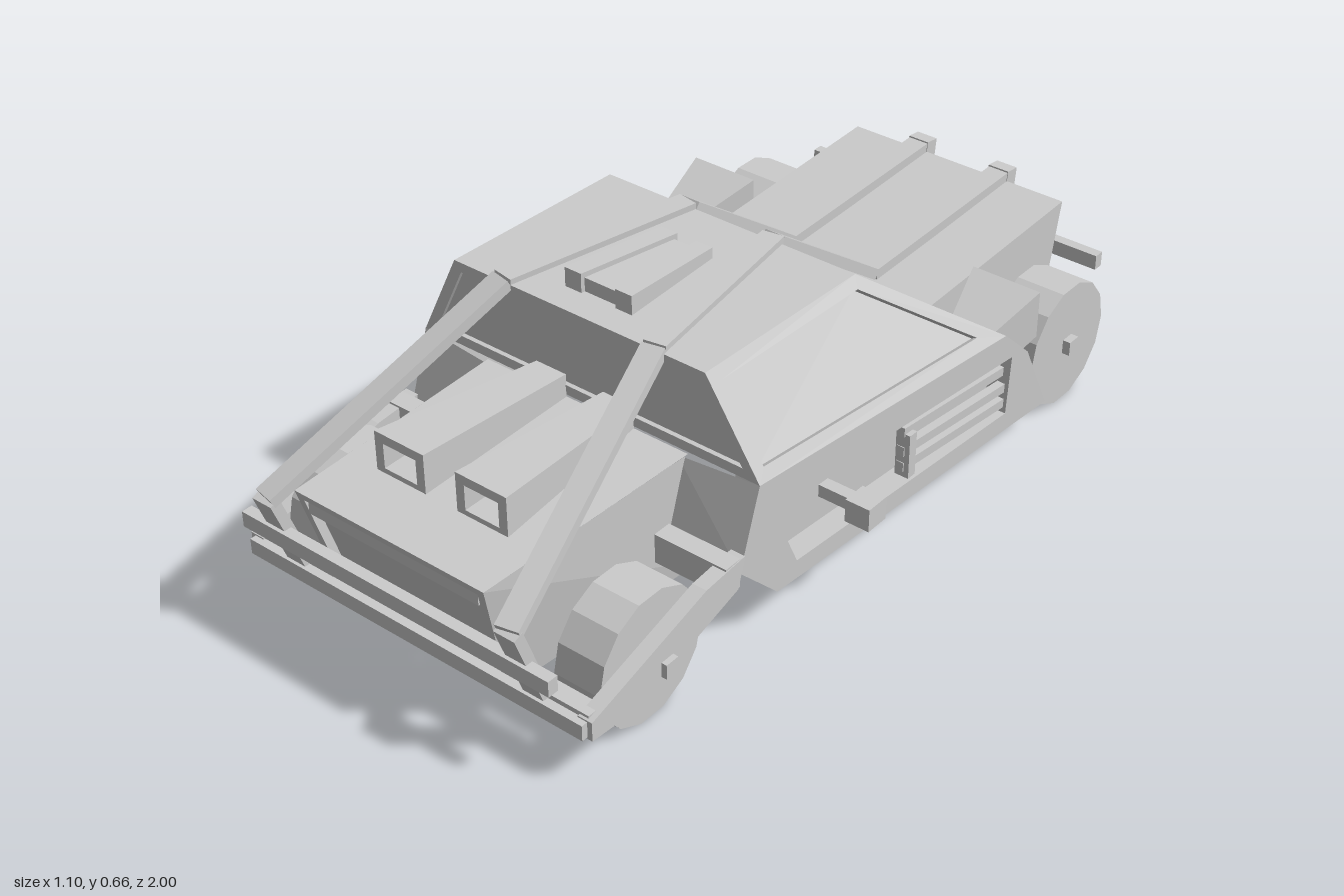
import * as THREE from 'three';

const mat = new THREE.MeshStandardMaterial({ color: 0xcccccc, flatShading: true, side: THREE.DoubleSide });
const V = (p) => new THREE.Vector3(...p);

function add(parent, name, geo, x = 0, y = 0, z = 0) {
  const m = new THREE.Mesh(geo, mat);
  m.name = name;
  m.position.set(x, y, z);
  parent.add(m);
  return m;
}

const box = (parent, name, w, h, d, x, y, z) => add(parent, name, new THREE.BoxGeometry(w, h, d), x, y, z);

// Flat-shaded geometry from four-cornered faces
function faces(quads) {
  const pos = [];
  for (const [a, b, c, d] of quads) for (const p of [a, b, c, a, c, d]) pos.push(...p);
  const g = new THREE.BufferGeometry();
  g.setAttribute('position', new THREE.Float32BufferAttribute(pos, 3));
  g.computeVertexNormals();
  return g;
}

// Face with an even border and a sunken panel; corners run anticlockwise from outside
function framed(corners, border, depth) {
  const p = corners.map(V);
  const n = p[1].clone().sub(p[0]).cross(p[3].clone().sub(p[0])).normalize();
  const rim = p.map((c, i) => {
    const u = p[(i + 1) % 4].clone().sub(c).normalize();
    const v = p[(i + 3) % 4].clone().sub(c).normalize();
    const s = border / u.clone().cross(v).length();
    return c.clone().addScaledVector(u.add(v), s);
  });
  const low = rim.map((c) => c.clone().addScaledVector(n, -depth));
  const quads = [low];
  for (let i = 0; i < 4; i++) {
    const j = (i + 1) % 4;
    quads.push([p[i], p[j], rim[j], rim[i]], [rim[i], rim[j], low[j], low[i]]);
  }
  return quads.map((q) => q.map((c) => c.toArray()));
}

// Tapered box between two rectangles [x0, x1, y0, y1, z]; the first end (z larger or smaller) can be sunken
function taper(A, B, border = 0, depth = 0) {
  const ring = ([x0, x1, y0, y1, z]) => [[x0, y0, z], [x1, y0, z], [x1, y1, z], [x0, y1, z]];
  const a = ring(A), b = ring(B);
  const end = A[4] > B[4] ? a : [a[1], a[0], a[3], a[2]];
  const quads = border ? framed(end, border, depth) : [end];
  quads.push([b[1], b[0], b[3], b[2]]);
  for (let i = 0; i < 4; i++) {
    const j = (i + 1) % 4;
    quads.push([a[j], a[i], b[i], b[j]]);
  }
  return faces(quads);
}

// Straight bar between two points
function bar(parent, name, from, to, w, h) {
  const a = V(from), b = V(to);
  const m = add(parent, name, new THREE.BoxGeometry(w, h, a.distanceTo(b)));
  m.position.copy(a).add(b).multiplyScalar(0.5);
  m.lookAt(b);
  return m;
}

// Plate drawn as [z, y] points and given thickness along x
function plate(points, thickness, hole) {
  const toV2 = (l) => l.map(([z, y]) => new THREE.Vector2(-z, y));
  const s = new THREE.Shape(toV2(points));
  if (hole) s.holes.push(new THREE.Path(toV2(hole)));
  return new THREE.ExtrudeGeometry(s, { depth: thickness, bevelEnabled: false }).rotateY(Math.PI / 2);
}

function wheel(parent, name, x, z, width, hubEnd) {
  const w = new THREE.Group();
  w.name = name;
  w.position.set(0, 0.153, z);
  add(w, 'tyre', new THREE.CylinderGeometry(0.152, 0.152, width, 14).rotateZ(Math.PI / 2), x);
  box(w, 'axle', hubEnd - 0.22, 0.035, 0.035, (hubEnd + 0.22) / 2, 0, 0);
  parent.add(w);
}

function buildSide() {
  const g = new THREE.Group();

  // Cabin side with its sunken window
  add(g, 'sideWindow', faces(framed([[0.45, 0.4, 0.4], [0.49, 0.345, -0.42], [0.33, 0.61, -0.07], [0.33, 0.625, 0.42]], 0.03, 0.015)));

  // Lower side with a recess, widening to the rear
  const recess = [[0.36, 0.32], [-0.45, 0.275], [-0.44, 0.13], [0.28, 0.145]];
  const door = plate([[0.4, 0.4], [-0.42, 0.345], [-0.51, 0.26], [-0.6, 0.08], [0.34, 0.1], [0.46, 0.22]], 0.06, recess);
  const p = door.attributes.position;
  for (let i = 0; i < p.count; i++) p.setX(i, p.getX(i) + 0.41 - 0.049 * p.getZ(i));
  door.computeVertexNormals();
  add(g, 'lowerSide', door);
  add(g, 'recessPanel', faces([recess.map(([z, y]) => [0.415 - 0.049 * z, y, z])]));

  // Walls behind the front wheel and ahead of the rear wheel
  add(g, 'frontWheelWall', faces([
    [[0.25, 0.39, 0.41], [0.25, 0.22, 0.46], [0.45, 0.22, 0.46], [0.45, 0.4, 0.4]],
    [[0.25, 0.22, 0.46], [0.25, 0.1, 0.34], [0.45, 0.1, 0.34], [0.45, 0.22, 0.46]]]));
  add(g, 'rearWheelWall', faces([
    [[0.28, 0.345, -0.42], [0.49, 0.345, -0.42], [0.49, 0.26, -0.51], [0.28, 0.26, -0.51]],
    [[0.28, 0.26, -0.51], [0.49, 0.26, -0.51], [0.49, 0.08, -0.6], [0.28, 0.08, -0.6]]]));

  // Hood and rear deck sides
  add(g, 'hoodSide', faces([[[0.25, 0.395, 0.97], [0.22, 0.09, 0.89], [0.27, 0.1, 0.36], [0.27, 0.395, 0.41]]]));
  add(g, 'deckSide', plate([[-0.42, 0.345], [-0.96, 0.365], [-0.9, 0.08], [-0.6, 0.08], [-0.5, 0.26]], 0.015), 0.28);

  // Rear-facing pod
  add(g, 'rearPod', taper([0.31, 0.485, 0.27, 0.385, -0.56], [0.35, 0.46, 0.22, 0.34, -0.42], 0.02, 0.03));

  // Side pipes and equipment box
  for (const [y, z] of [[0.255, -0.43], [0.205, -0.44], [0.165, -0.44]])
    bar(g, 'sidePipe', [0.455, y + 0.01, -0.08], [0.475, y - 0.01, z], 0.02, 0.022);
  box(g, 'pipeClamp', 0.035, 0.11, 0.025, 0.46, 0.205, -0.095);
  box(g, 'boxArm', 0.12, 0.03, 0.03, 0.44, 0.22, 0.13);
  box(g, 'sideBox', 0.06, 0.055, 0.06, 0.52, 0.22, 0.135);

  // Wheels and the frame around the front wheel
  wheel(g, 'frontWheel', 0.365, 0.7, 0.115, 0.475);
  wheel(g, 'rearWheel', 0.405, -0.735, 0.122, 0.485);
  add(g, 'wheelFrame', plate([[0.46, 0.27], [0.58, 0.26], [0.92, 0.16], [0.92, 0.115], [0.8, 0.105], [0.48, 0.2]], 0.035), 0.427);
  box(g, 'wheelFrameFront', 0.22, 0.055, 0.04, 0.34, 0.14, 0.895);
  box(g, 'wheelFrameRear', 0.18, 0.07, 0.045, 0.37, 0.235, 0.495);

  // Long strap from the nose over the roof and down the tail
  const path = [[0.322, 0.09, 0.89], [0.322, 0.35, 0.985], [0.2, 0.625, 0.415],
    [0.115, 0.612, -0.075], [0.115, 0.36, -0.43], [0.115, 0.375, -0.985]];
  for (let i = 0; i < path.length - 1; i++) bar(g, 'bodyStrap', path[i], path[i + 1], 0.052, 0.025);
  bar(g, 'tailStrap', [0.115, 0.388, -0.98], [0.115, 0.062, -0.938], 0.055, 0.038);

  // Hood scoop with a deep opening, and a roof rail
  add(g, 'hoodScoop', taper([0.042, 0.174, 0.385, 0.488, 0.82], [0.05, 0.13, 0.385, 0.45, 0.4], 0.022, 0.12));
  add(g, 'roofRail', taper([0.045, 0.088, 0.61, 0.668, 0.35], [0.025, 0.068, 0.6, 0.64, 0.07]));
  return g;
}

export function createModel() {
  const model = new THREE.Group();
  model.name = 'armouredCar';

  // Mirrored halves
  const left = buildSide();
  left.name = 'leftSide';
  const right = buildSide();
  right.name = 'rightSide';
  right.scale.x = -1;
  model.add(left, right);

  // Cabin shell, open underneath
  add(model, 'roof', faces([[[-0.33, 0.625, 0.42], [0.33, 0.625, 0.42], [0.33, 0.61, -0.07], [-0.33, 0.61, -0.07]]]));
  add(model, 'windscreen', faces(framed([[-0.45, 0.4, 0.4], [0.45, 0.4, 0.4], [0.33, 0.625, 0.42], [-0.33, 0.625, 0.42]], 0.025, 0.01)));
  add(model, 'rearWindow', faces(framed([[0.49, 0.345, -0.42], [-0.49, 0.345, -0.42], [-0.33, 0.61, -0.07], [0.33, 0.61, -0.07]], 0.025, 0.012)));
  add(model, 'roofVent', taper([-0.045, 0.045, 0.61, 0.655, 0.34], [-0.025, 0.025, 0.6, 0.63, 0.08]));

  // Hood and nose
  add(model, 'hoodTop', faces([[[-0.25, 0.395, 0.97], [0.25, 0.395, 0.97], [0.27, 0.395, 0.4], [-0.27, 0.395, 0.4]]]));
  add(model, 'nose', faces(framed([[-0.22, 0.09, 0.89], [0.22, 0.09, 0.89], [0.25, 0.395, 0.97], [-0.25, 0.395, 0.97]], 0.018, 0.02)));
  box(model, 'noseSlat', 0.45, 0.03, 0.02, 0, 0.36, 0.95);

  // Rear deck and tail
  add(model, 'rearDeck', faces([[[-0.295, 0.345, -0.42], [0.295, 0.345, -0.42], [0.295, 0.365, -0.96], [-0.295, 0.365, -0.96]]]));
  add(model, 'tail', faces(framed([[0.295, 0.08, -0.9], [-0.295, 0.08, -0.9], [-0.295, 0.365, -0.96], [0.295, 0.365, -0.96]], 0.025, 0.02)));

  // Cross bars of both bumpers
  for (const [name, width, y, z] of [['frontBumper', 0.82, 0.253, 0.965], ['frontBumper', 0.9, 0.138, 0.922],
    ['rearBumper', 0.82, 0.25, -0.952], ['rearBumper', 0.75, 0.165, -0.94]])
    box(model, name, width, 0.037, 0.026, 0, y, z);

  return model;
}
